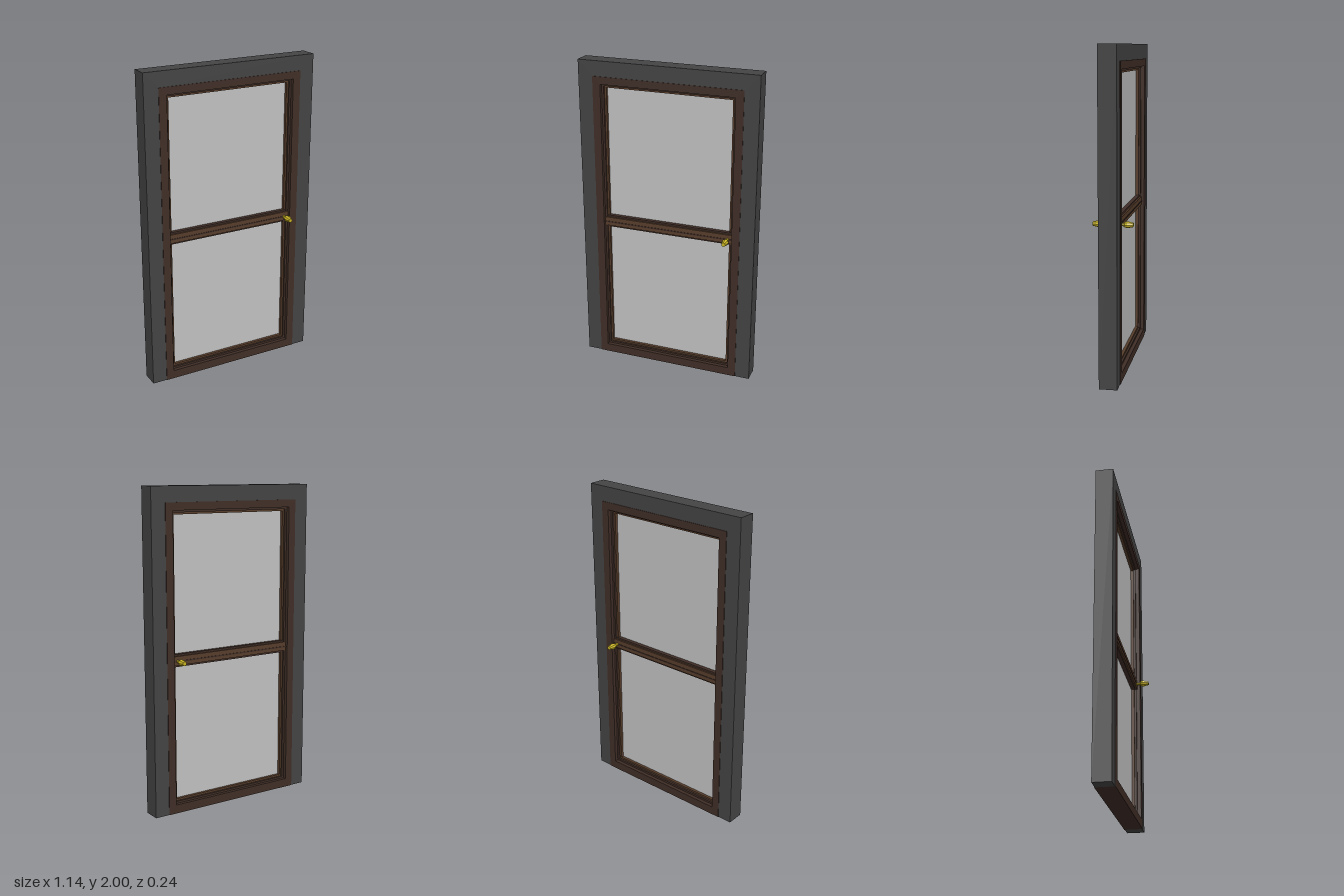
import * as THREE from 'three';

const paint = (name, color) => Object.assign(new THREE.MeshStandardMaterial({ color }), { name });

export function createModel() {
  const wall = paint('charcoal surround', 0x444444);
  const darkWood = paint('dark wood', 0x402e27);
  const wood = paint('brown wood', 0x573d2b);
  const glass = paint('grey glass', 0xc2c2c2);
  const brass = paint('brass', 0xc9b423);
  brass.flatShading = true;

  const door = new THREE.Group();
  door.name = 'door';
  const add = (name, geometry, material, x = 0, y = 0, z = 0) => {
    const mesh = new THREE.Mesh(geometry, material);
    mesh.name = name;
    mesh.position.set(x, y, z);
    door.add(mesh);
    return mesh;
  };
  // Rectangular ring: outer half width, bottom, top; inner half width, bottom, top
  const ring = (name, material, [w, b, t], [iw, ib, it], depth) => {
    const shape = new THREE.Shape([[-w, b], [w, b], [w, t], [-w, t]].map(p => new THREE.Vector2(...p)));
    shape.holes.push(new THREE.Path([[-iw, ib], [-iw, it], [iw, it], [iw, ib]].map(p => new THREE.Vector2(...p))));
    const geometry = new THREE.ExtrudeGeometry(shape, { depth, bevelEnabled: false });
    return add(name, geometry.translate(0, 0, -depth / 2), material);
  };

  // Surround, open at the floor
  const arch = new THREE.Shape([
    [-0.568, 0], [-0.475, 0], [-0.475, 1.905], [0.475, 1.905],
    [0.475, 0], [0.568, 0], [0.568, 2], [-0.568, 2],
  ].map(p => new THREE.Vector2(...p)));
  add('surround', new THREE.ExtrudeGeometry(arch, { depth: 0.11, bevelEnabled: false }).translate(0, 0, -0.055), wall);

  // Door leaf and the stepped beads inside it
  ring('doorFrame', darkWood, [0.475, 0, 1.905], [0.425, 0.055, 1.858], 0.117);
  ring('outerBead', darkWood, [0.425, 0.055, 1.858], [0.412, 0.068, 1.845], 0.07);
  ring('innerBead', wood, [0.412, 0.068, 1.845], [0.4, 0.08, 1.833], 0.045);

  // Stepped middle rail
  add('middleRail', new THREE.BoxGeometry(0.85, 0.078, 0.06), darkWood, 0, 0.96);
  add('middleRailStep', new THREE.BoxGeometry(0.85, 0.056, 0.08), wood, 0, 0.96);
  for (const side of [1, -1]) {
    add('middleRailGroove', new THREE.BoxGeometry(0.85, 0.007, 0.004), darkWood, 0, 0.957, side * 0.041);
  }

  // Panes
  add('upperPane', new THREE.BoxGeometry(0.8, 0.834, 0.008), glass, 0, 1.416);
  add('lowerPane', new THREE.BoxGeometry(0.8, 0.841, 0.008), glass, 0, 0.5005);

  // Faceted knobs on both faces
  const profile = [[0, 0.035], [0.01, 0.035], [0.01, 0.065], [0.016, 0.069], [0.021, 0.085], [0.013, 0.121], [0, 0.121]]
    .map(p => new THREE.Vector2(...p));
  for (const side of [1, -1]) {
    const knob = add(side > 0 ? 'frontKnob' : 'backKnob', new THREE.LatheGeometry(profile, 8), brass, 0.393, 0.957);
    knob.rotation.x = side * Math.PI / 2;
  }
  return door;
}
